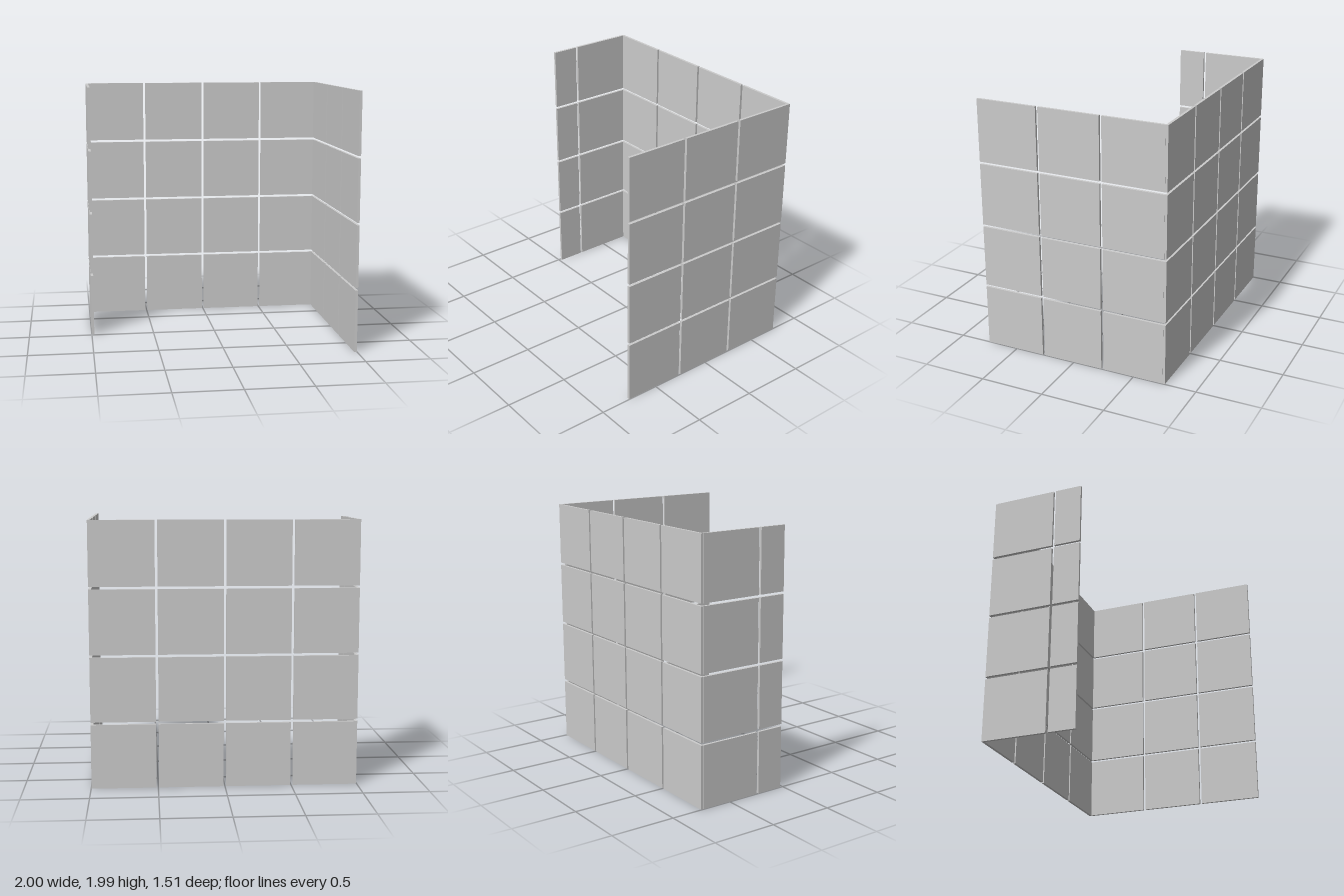
import * as THREE from 'three';

const TILE = 0.484;   // tile edge length
const PITCH = 0.503;  // tile plus gap
const THICK = 0.02;
const ROWS = 4;

export function createModel() {
  const model = new THREE.Group();
  model.name = 'tiledWall';
  const material = new THREE.MeshStandardMaterial({ color: 0xcccccc });

  // One column of tiles; sx and sz are its footprint, x and z its centre
  function addColumn(parent, sx, sz, x, z) {
    const geometry = new THREE.BoxGeometry(sx, TILE, sz);
    for (let row = 0; row < ROWS; row++) {
      const tile = new THREE.Mesh(geometry, material);
      tile.name = 'panel';
      tile.position.set(x, TILE / 2 + row * PITCH, z);
      parent.add(tile);
    }
  }

  function addWall(name) {
    const wall = new THREE.Group();
    wall.name = name;
    model.add(wall);
    return wall;
  }

  // Back wall, four tiles wide
  const back = addWall('backWall');
  for (let i = 0; i < 4; i++) addColumn(back, TILE, THICK, (i - 1.5) * PITCH, -0.744);

  // Left wall, three tiles deep
  const sideStart = -0.736;
  const left = addWall('leftWall');
  for (let i = 0; i < 3; i++) addColumn(left, THICK, TILE, 0.988, sideStart + TILE / 2 + i * PITCH);

  // Right wall, one whole tile and one cut tile deep
  const right = addWall('rightWall');
  const cut = 0.21;
  addColumn(right, THICK, TILE, -0.99, sideStart + TILE / 2);
  addColumn(right, THICK, cut, -0.99, sideStart + PITCH + cut / 2);

  return model;
}
